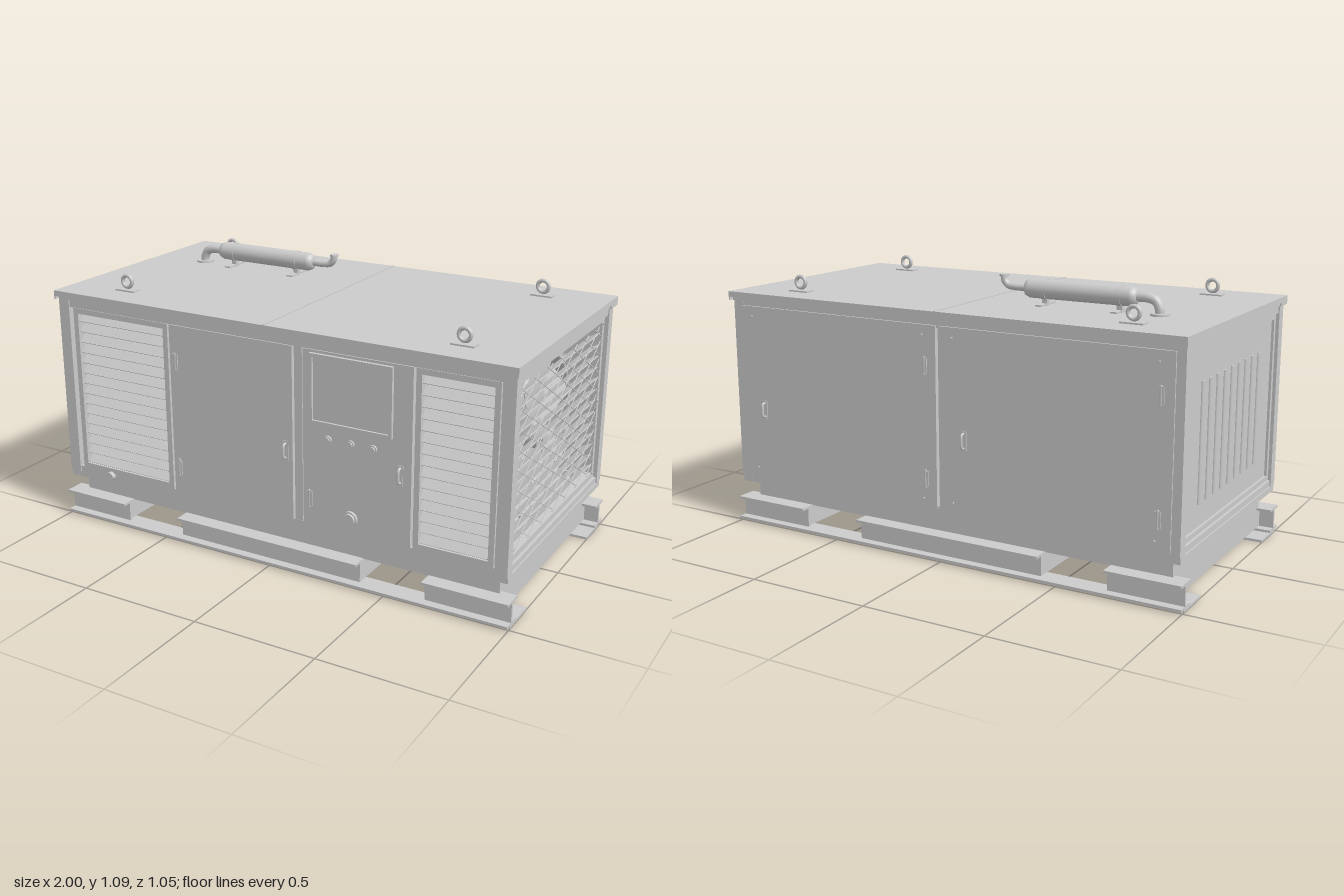
import * as THREE from 'three';

const grey = new THREE.MeshStandardMaterial({ color: 0xcccccc, side: THREE.DoubleSide });

export function createModel() {
  const root = new THREE.Group();

  const add = (name, geo, x = 0, y = 0, z = 0, parent = root) => {
    const m = new THREE.Mesh(geo, grey);
    m.name = name;
    m.position.set(x, y, z);
    parent.add(m);
    return m;
  };
  // Box given by its limits on each axis
  const box = (name, x0, x1, y0, y1, z0, z1, parent = root) =>
    add(name, new THREE.BoxGeometry(x1 - x0, y1 - y0, z1 - z0), (x0 + x1) / 2, (y0 + y1) / 2, (z0 + z1) / 2, parent);
  // Cylinder whose axis runs along x, y or z
  const rod = (name, r, len, axis, x, y, z, seg = 24, parent = root) => {
    const g = new THREE.CylinderGeometry(r, r, len, seg);
    if (axis === 'x') g.rotateZ(Math.PI / 2);
    if (axis === 'z') g.rotateX(Math.PI / 2);
    return add(name, g, x, y, z, parent);
  };
  const tube = (name, pts, r, parent = root) =>
    add(name, new THREE.TubeGeometry(new THREE.CatmullRomCurve3(pts.map(p => new THREE.Vector3(...p))), 28, r, 14), 0, 0, 0, parent);
  // Rectangular frame of four bars, facing z
  const frameZ = (name, x0, x1, y0, y1, w, z0, z1) => {
    box(name, x0, x1, y0, y0 + w, z0, z1);
    box(name, x0, x1, y1 - w, y1, z0, z1);
    box(name, x0, x0 + w, y0 + w, y1 - w, z0, z1);
    box(name, x1 - w, x1, y0 + w, y1 - w, z0, z1);
  };
  // The same, facing x
  const frameX = (name, z0, z1, y0, y1, w, x0, x1) => {
    box(name, x0, x1, y0, y0 + w, z0, z1);
    box(name, x0, x1, y1 - w, y1, z0, z1);
    box(name, x0, x1, y0 + w, y1 - w, z0, z0 + w);
    box(name, x0, x1, y0 + w, y1 - w, z1 - w, z1);
  };

  // Skid: I-beams interrupted by fork pockets, cross members and feet
  for (const s of [1, -1]) {
    const span = (a, b) => [Math.min(a * s, b * s), Math.max(a * s, b * s)];
    box('beamBottomFlange', -1, 1, 0.01, 0.02, ...span(0.43, 0.515));
    for (const [a, b] of [[-1, -0.7], [-0.43, 0.39], [0.66, 1]]) {
      box('beamWeb', a, b, 0.02, 0.098, ...span(0.468, 0.48));
      box('beamTopFlange', a, b, 0.097, 0.107, ...span(0.43, 0.515));
    }
    box('footPlate', -1, -0.77, 0, 0.01, ...span(0.33, 0.485));
    box('footPlate', 0.74, 1, 0, 0.01, ...span(0.33, 0.485));
  }
  for (const x of [-0.92, -0.73, -0.41, 0, 0.37, 0.69, 0.92])
    box('crossMember', x - 0.02, x + 0.02, 0.02, 0.106, -0.468, 0.468);
  box('baseTank', -0.94, 0.94, 0.105, 0.178, -0.45, 0.45);
  box('baseRail', -0.985, 0.985, 0.175, 0.2, -0.495, 0.492);

  // Enclosure frame, inner housing and roof
  for (const x of [-0.96, 0.96]) for (const z of [-0.48, 0.478])
    box('cornerPost', x - 0.025, x + 0.025, 0.2, 0.945, z - 0.022, z + 0.022);
  for (const z of [-0.48, 0.475]) {
    box('topRail', -0.935, 0.935, 0.915, 0.945, z - 0.02, z + 0.02);
    box('sill', -0.935, 0.935, 0.2, 0.225, z - 0.02, z + 0.02);
  }
  for (const x of [-0.96, 0.96]) {
    box('endTopRail', x - 0.02, x + 0.02, 0.915, 0.945, -0.46, 0.46);
    box('endSill', x - 0.02, x + 0.02, 0.2, 0.225, -0.46, 0.46);
  }
  box('innerHousing', -0.93, 0.8, 0.2, 0.945, -0.44, 0.435);
  box('roofRim', -0.985, 0.985, 0.943, 0.96, -0.51, 0.5);
  box('roofPanel', -0.995, -0.002, 0.958, 0.98, -0.523, 0.515);
  box('roofPanel', 0.002, 0.995, 0.958, 0.98, -0.523, 0.515);
  box('roofSeam', -0.004, 0.004, 0.958, 0.983, -0.523, 0.515);
  for (const x of [-0.992, 0.992]) for (const z of [-0.485, 0.478])
    box('roofCornerTab', x - 0.003, x + 0.003, 0.945, 0.96, z - 0.037, z + 0.037);

  // Front: louvres, door, pillar and control panel
  const louvre = (x0, x1) => {
    frameZ('louvreFrame', x0, x1, 0.225, 0.915, 0.022, 0.455, 0.498);
    const n = 15;
    for (let i = 0; i < n; i++) {
      const slat = add('louvreSlat', new THREE.BoxGeometry(x1 - x0 - 0.04, 0.004, 0.045),
        (x0 + x1) / 2, 0.265 + i * 0.61 / (n - 1), 0.474);
      slat.rotation.x = 0.8;
    }
  };
  louvre(-0.915, -0.45);
  louvre(0.615, 0.93);
  box('frontDoor', -0.44, 0.112, 0.225, 0.915, 0.47, 0.5);
  box('pillar', 0.118, 0.152, 0.225, 0.915, 0.46, 0.494);
  box('controlPanel', 0.158, 0.606, 0.225, 0.915, 0.47, 0.5);
  frameZ('screenFrame', 0.19, 0.53, 0.635, 0.905, 0.014, 0.5, 0.513);
  box('screen', 0.2, 0.52, 0.645, 0.895, 0.499, 0.504);
  for (const x of [0.265, 0.36, 0.452]) {
    rod('buttonRing', 0.016, 0.01, 'z', x, 0.58, 0.503);
    rod('button', 0.011, 0.016, 'z', x, 0.58, 0.506);
  }
  rod('socketCollar', 0.03, 0.012, 'z', 0.36, 0.285, 0.505);
  rod('socket', 0.024, 0.022, 'z', 0.36, 0.285, 0.51);
  rod('drainPlug', 0.018, 0.03, 'z', -0.77, 0.215, 0.5);

  // Door hardware; s is the outward z direction of the wall
  const handle = (x, s, z) => {
    tube('handle', [[x, 0.472, z], [x, 0.476, z + s * 0.015], [x, 0.5, z + s * 0.018], [x, 0.526, z + s * 0.015], [x, 0.53, z]], 0.005);
    box('handlePlate', x - 0.011, x + 0.011, 0.463, 0.54, z - 0.003, z + 0.003);
  };
  const hinges = (x, z) => {
    for (const y of [0.33, 0.77]) {
      rod('hingePin', 0.006, 0.07, 'y', x, y, z, 12);
      box('hingeLeaf', x - 0.012, x + 0.012, y - 0.03, y + 0.03, z - 0.004, z + 0.004);
    }
  };
  handle(0.082, 1, 0.5);
  handle(0.562, 1, 0.5);
  hinges(-0.415, 0.5);
  hinges(0.185, 0.5);

  // Back: two wide doors with corner bolts
  for (const [x0, x1] of [[-0.95, -0.006], [0.006, 0.95]]) {
    box('backDoor', x0, x1, 0.215, 0.925, -0.508, -0.47);
    handle(x1 - 0.11, -1, -0.508);
    hinges(x0 + 0.05, -0.508);
    for (const x of [x0 + 0.06, x1 - 0.06]) for (const y of [0.25, 0.885])
      rod('doorBolt', 0.005, 0.008, 'z', x, y, -0.51, 8);
  }

  // Left end: recessed panel with raised vertical vents
  box('leftEndPanel', -0.962, -0.93, 0.225, 0.915, -0.46, 0.46);
  frameX('leftEndFrame', -0.455, 0.455, 0.228, 0.912, 0.02, -0.972, -0.955);
  for (let i = 0; i < 9; i++) {
    const vent = rod('ventRidge', 0.011, 0.45, 'y', -0.962, 0.56, -0.29 + i * 0.0725, 10);
    vent.scale.x = 0.8;
  }

  // Right end: frame, slats, diamond mesh and fan
  frameX('rightEndFrame', -0.46, 0.46, 0.225, 0.915, 0.024, 0.925, 0.968);
  for (let i = 0; i < 13; i++) {
    const slat = add('rightSlat', new THREE.BoxGeometry(0.045, 0.004, 0.872), 0.94, 0.273 + i * 0.0468, 0);
    slat.rotation.z = 0.48;
  }
  for (const z of [-0.437, 0.437]) for (const y of [0.25, 0.565, 0.885])
    rod('frameBolt', 0.005, 0.008, 'x', 0.97, y, z, 8);
  const yMin = 0.255, yMax = 0.875, zMax = 0.437, slope = 0.58;
  for (const s of [1, -1]) for (let c = -0.04; c < 1.2; c += 0.075) {
    // Clip each wire y = c + s * slope * z to the opening
    const ends = [(yMin - c) / (s * slope), (yMax - c) / (s * slope)].sort((a, b) => a - b);
    const a = Math.max(-zMax, ends[0]), b = Math.min(zMax, ends[1]);
    if (b - a < 0.02) continue;
    const wire = box('meshWire', 0.962, 0.965, -0.0015, 0.0015, -0.5, 0.5);
    wire.scale.z = (b - a) * Math.hypot(1, slope);
    wire.rotation.x = -s * Math.atan(slope);
    wire.position.set(0.9635, c + s * slope * (a + b) / 2, (a + b) / 2);
  }
  const fan = new THREE.Group();
  fan.name = 'fan';
  fan.position.set(0.87, 0.55, 0);
  root.add(fan);
  const shroud = new THREE.CylinderGeometry(0.305, 0.305, 0.08, 64, 1, true).rotateZ(Math.PI / 2);
  add('fanShroud', shroud, -0.02, 0, 0, fan);
  for (const x of [-0.05, 0.02])
    add('shroudRim', new THREE.TorusGeometry(0.311, 0.009, 8, 64).rotateY(Math.PI / 2), x, 0, 0, fan);
  rod('fanHub', 0.052, 0.06, 'x', 0, 0, 0, 24, fan);
  rod('hubCap', 0.025, 0.02, 'x', 0.035, 0, 0, 24, fan);
  const bladeShape = new THREE.Shape();
  bladeShape.moveTo(-0.025, 0.04);
  bladeShape.quadraticCurveTo(-0.09, 0.18, -0.075, 0.285);
  bladeShape.quadraticCurveTo(0, 0.31, 0.075, 0.285);
  bladeShape.quadraticCurveTo(0.03, 0.16, 0.025, 0.04);
  const bladeGeo = new THREE.ExtrudeGeometry(bladeShape, { depth: 0.004, bevelEnabled: false });
  bladeGeo.rotateY(Math.PI / 2 - 0.35);
  for (let i = 0; i < 6; i++) add('fanBlade', bladeGeo, 0, 0, 0, fan).rotation.x = i * Math.PI / 3;
  for (const z of [-0.375, 0.375]) box('radiatorStrut', 0.8, 0.83, 0.2, 0.945, z - 0.02, z + 0.02);

  // Lifting eyes
  for (const x of [-0.735, 0.735]) for (const z of [-0.38, 0.37]) {
    box('liftingEyeBase', x - 0.045, x + 0.045, 0.98, 0.986, z - 0.022, z + 0.022);
    add('liftingEye', new THREE.TorusGeometry(0.023, 0.008, 10, 28), x, 1.018, z);
  }

  // Exhaust silencer with elbows, straps and stand
  const mz = -0.19, my = 1.042;
  const profile = [[0, -0.232], [0.018, -0.232], [0.03, -0.225], [0.037, -0.208], [0.037, 0.208], [0.03, 0.225], [0.018, 0.232], [0, 0.232]];
  add('silencer', new THREE.LatheGeometry(profile.map(p => new THREE.Vector2(...p)), 32).rotateZ(-Math.PI / 2), -0.432, my, mz);
  tube('inletPipe', [[-0.752, 0.98, mz], [-0.75, 1.005, mz], [-0.735, 1.032, mz], [-0.705, my, mz], [-0.65, my, mz]], 0.018);
  rod('inletFlange', 0.036, 0.008, 'y', -0.752, 0.985, mz);
  tube('outletPipe', [[-0.22, my, mz], [-0.15, my, mz], [-0.122, 1.047, mz], [-0.108, 1.062, mz], [-0.104, 1.082, mz]], 0.014);
  rod('outletRim', 0.018, 0.008, 'y', -0.104, 1.083, mz);
  for (const x of [-0.595, -0.285]) {
    rod('silencerStrap', 0.039, 0.022, 'x', x, my, mz, 32);
    box('silencerFoot', x - 0.013, x + 0.013, 0.983, 0.989, mz - 0.06, mz + 0.06);
    box('silencerStand', x - 0.011, x + 0.011, 0.98, 1.02, mz - 0.01, mz + 0.01);
  }
  return root;
}
